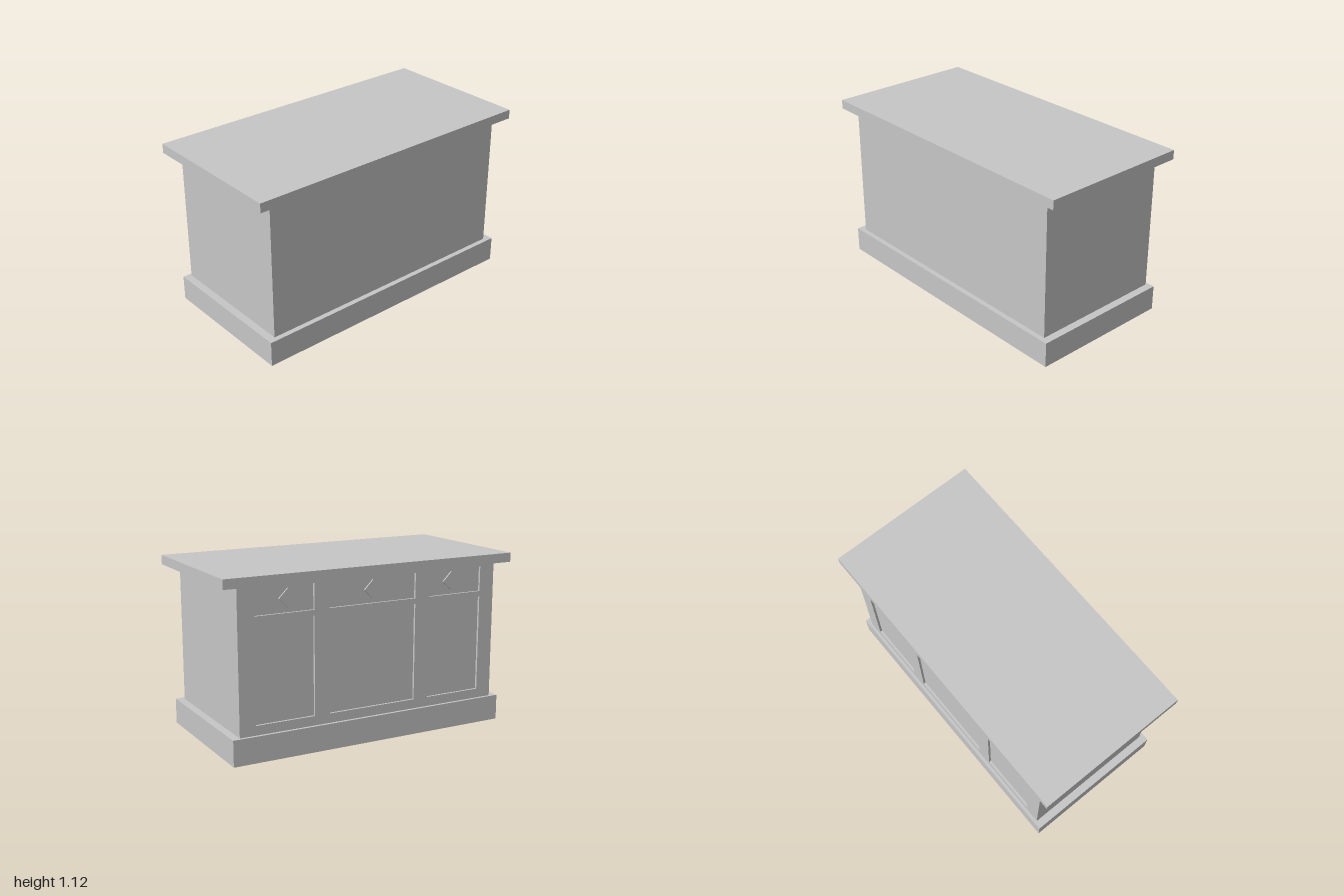
import * as THREE from 'three';

export function createModel() {
  const model = new THREE.Group();
  model.name = 'counter';
  const grey = new THREE.MeshStandardMaterial({ color: 0xc6c6c6 });
  grey.name = 'light grey';

  function add(name, geometry, x, y, z, parent = model) {
    const mesh = new THREE.Mesh(geometry, grey);
    mesh.name = name;
    mesh.position.set(x, y, z);
    parent.add(mesh);
    return mesh;
  }
  // Box given by its half width and its y and z ranges
  function slab(name, halfX, y0, y1, z0, z1) {
    add(name, new THREE.BoxGeometry(halfX * 2, y1 - y0, z1 - z0), 0, (y0 + y1) / 2, (z0 + z1) / 2);
  }

  slab('plinth', 0.95, 0, 0.165, -0.475, 0.478);
  slab('cabinetBody', 0.9, 0.165, 1.06, -0.441, 0.445);
  slab('countertop', 1, 1.06, 1.12, -0.5, 0.5);

  // Face frame on the back: door and drawer openings in three columns
  function rectangle(path, x0, x1, y0, y1) {
    path.moveTo(x0, y0);
    path.lineTo(x1, y0);
    path.lineTo(x1, y1);
    path.lineTo(x0, y1);
    path.closePath();
    return path;
  }
  const frame = rectangle(new THREE.Shape(), -0.9, 0.9, 0.165, 1.06);
  for (const [x0, x1] of [[-0.795, -0.405], [-0.303, 0.303], [0.405, 0.795]]) {
    for (const [y0, y1] of [[0.225, 0.845], [0.88, 1.04]]) {
      frame.holes.push(rectangle(new THREE.Path(), x0, x1, y0, y1));
    }
  }
  add('faceFrame', new THREE.ExtrudeGeometry(frame, { depth: 0.015, bevelEnabled: false }), 0, 0, -0.456);

  // Diamond drawer pulls
  const pulls = new THREE.Group();
  pulls.name = 'drawerPulls';
  model.add(pulls);
  for (const x of [-0.575, 0, 0.575]) {
    const pull = add('drawerPull', new THREE.BoxGeometry(0.085, 0.085, 0.016), x, 0.965, -0.443, pulls);
    pull.rotation.z = Math.PI / 4;
  }
  return model;
}
